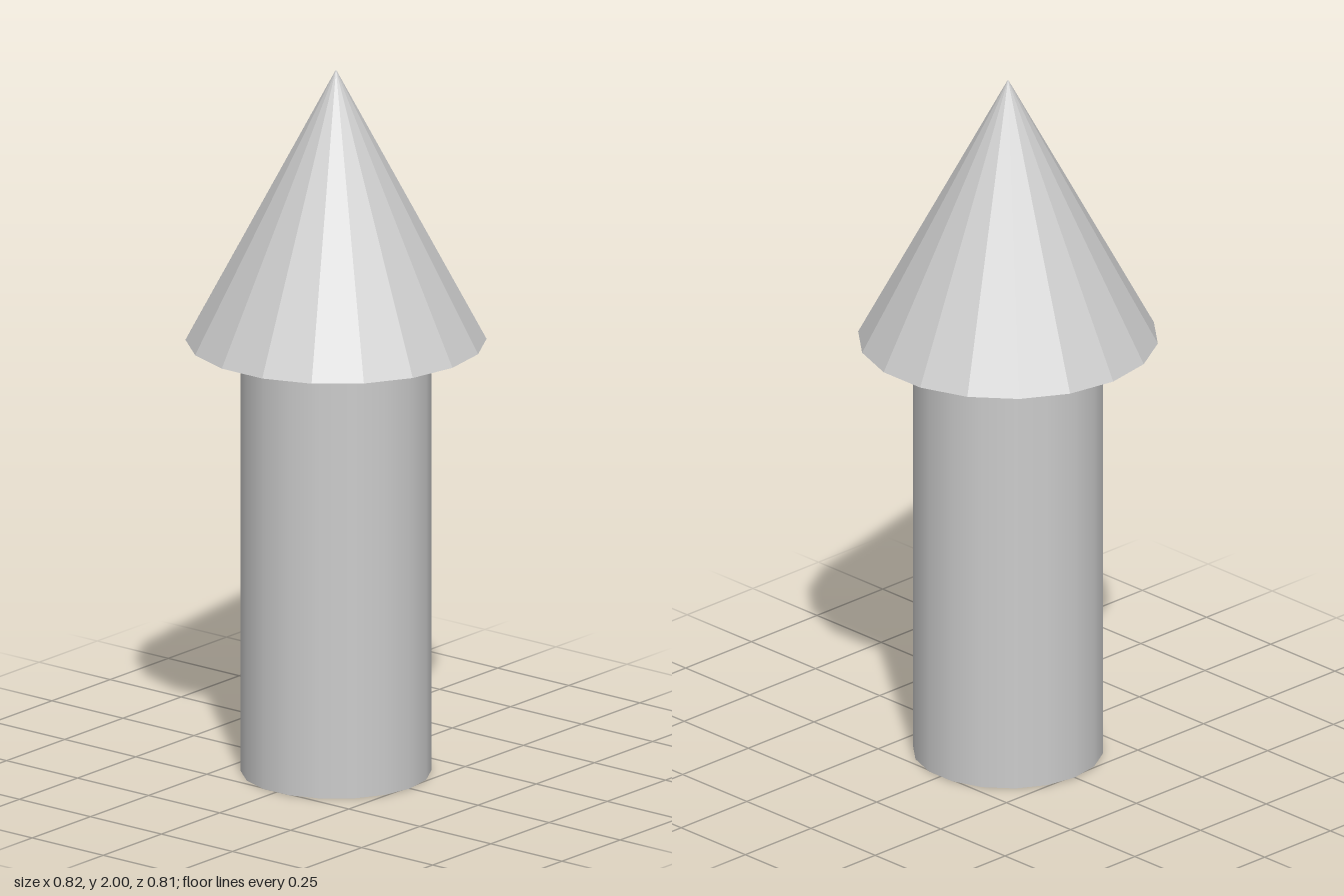
import * as THREE from 'three';

const SIDES = 18;
const SHAFT_HEIGHT = 1.23;
const TOTAL_HEIGHT = 2;

export function createModel() {
  const model = new THREE.Group();
  model.name = 'upwardArrow';

  // Smooth round shaft, with a corner on the x axis
  const shaft = new THREE.Mesh(
    new THREE.CylinderGeometry(0.26, 0.26, SHAFT_HEIGHT, SIDES, 1, false, Math.PI / 2),
    new THREE.MeshStandardMaterial({ color: 0xcccccc })
  );
  shaft.name = 'shaft';
  shaft.position.y = SHAFT_HEIGHT / 2;
  model.add(shaft);

  // Faceted conical tip
  const tipHeight = TOTAL_HEIGHT - SHAFT_HEIGHT;
  const tip = new THREE.Mesh(
    new THREE.ConeGeometry(0.41, tipHeight, SIDES, 1, false, Math.PI / 2),
    new THREE.MeshStandardMaterial({ color: 0xcccccc, flatShading: true })
  );
  tip.name = 'tip';
  tip.position.y = SHAFT_HEIGHT + tipHeight / 2;
  model.add(tip);

  return model;
}
